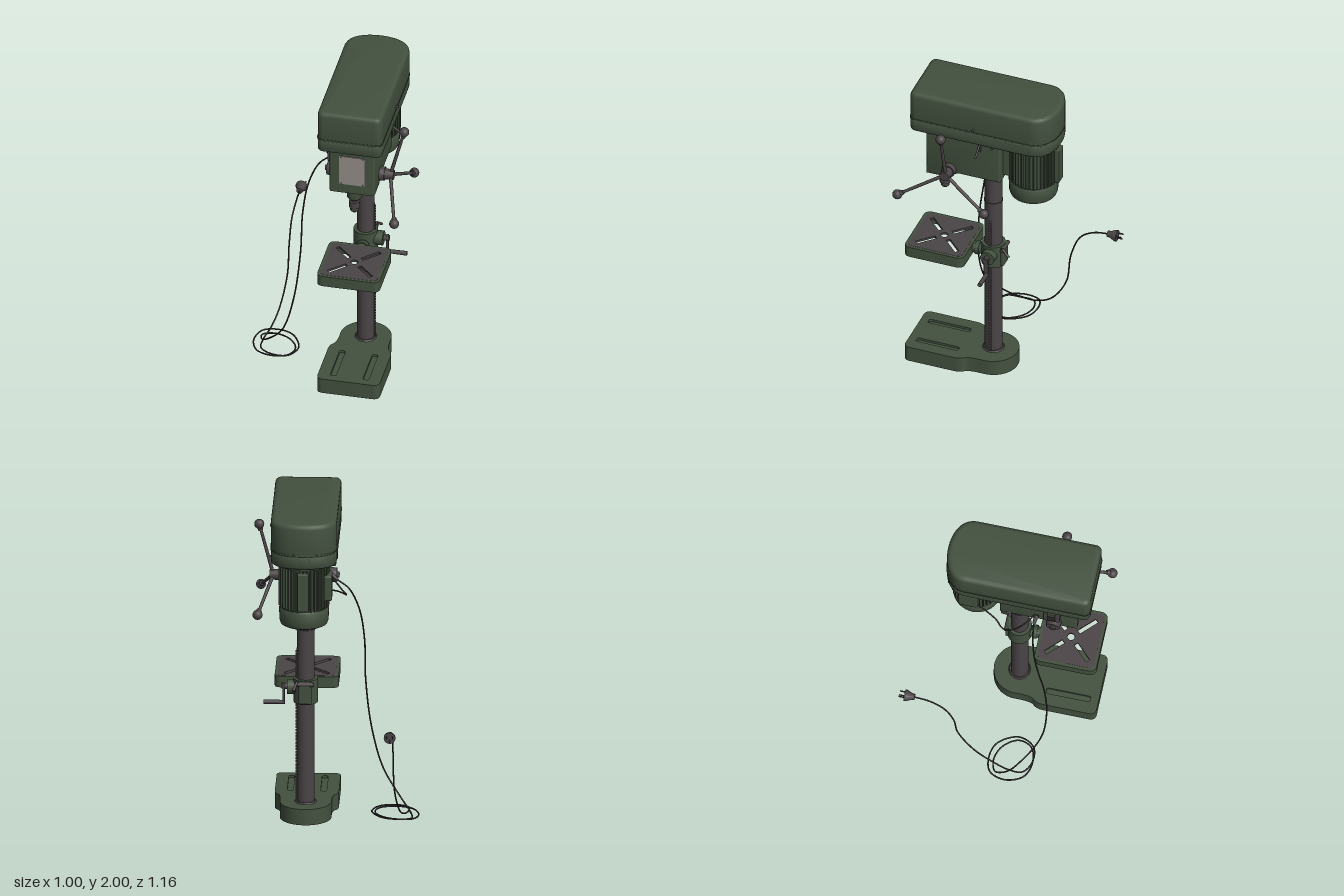
import * as THREE from 'three';
import { toCreasedNormals } from 'three/addons/utils/BufferGeometryUtils.js';
import { RoundedBoxGeometry } from 'three/addons/geometries/RoundedBoxGeometry.js';

const V = (x, y, z) => new THREE.Vector3(x, y, z);
const CX = 0.18, CZ = 0.045; // column axis

export function createModel() {
  const model = new THREE.Group();
  const mat = (name, color) => {
    const m = new THREE.MeshStandardMaterial({ color });
    m.name = name;
    return m;
  };
  const green = mat('machine green', 0x43513f);
  const steel = mat('dark steel', 0x4a4446);
  const black = mat('cord black', 0x353132);
  const plateGrey = mat('plate grey', 0x958d89);

  const add = (name, geo, material, x = 0, y = 0, z = 0) => {
    const m = new THREE.Mesh(geo, material);
    m.name = name;
    m.position.set(x, y, z);
    model.add(m);
    return m;
  };
  const box = (name, w, h, d, material, x, y, z, r = 0) =>
    add(name, r ? new RoundedBoxGeometry(w, h, d, 3, r) : new THREE.BoxGeometry(w, h, d), material, x, y, z);
  // round bar between two points
  const rod = (name, a, b, r1, material, r2 = r1, seg = 20) => {
    const d = b.clone().sub(a);
    const m = add(name, new THREE.CylinderGeometry(r2, r1, d.length(), seg), material);
    m.position.copy(a).addScaledVector(d, 0.5);
    m.quaternion.setFromUnitVectors(V(0, 1, 0), d.normalize());
    return m;
  };
  const lathe = (pts, seg = 32) =>
    toCreasedNormals(new THREE.LatheGeometry(pts.map(p => new THREE.Vector2(...p)), seg), 0.6);
  const extrude = (shape, depth, bevel) => {
    const g = new THREE.ExtrudeGeometry(shape, {
      depth: depth - 2 * bevel, bevelEnabled: bevel > 0, bevelThickness: bevel,
      bevelSize: bevel, bevelOffset: -bevel, bevelSegments: 4, curveSegments: 20 });
    g.translate(0, 0, bevel);
    return g;
  };
  // slab whose outline is drawn in x and z
  const slab = (name, shape, y0, y1, material, bevel = 0) =>
    add(name, toCreasedNormals(extrude(shape, y1 - y0, bevel).rotateX(Math.PI / 2), 0.6), material, 0, y1, 0);
  const roundRect = (x0, z0, x1, z1, r, Type = THREE.Shape) => {
    const s = new Type();
    s.moveTo(x0 + r, z0).lineTo(x1 - r, z0).quadraticCurveTo(x1, z0, x1, z0 + r);
    s.lineTo(x1, z1 - r).quadraticCurveTo(x1, z1, x1 - r, z1);
    s.lineTo(x0 + r, z1).quadraticCurveTo(x0, z1, x0, z1 - r);
    s.lineTo(x0, z0 + r).quadraticCurveTo(x0, z0, x0 + r, z0);
    return s;
  };

  // Base: square front blending into a round column foot, with two grooves on top
  const baseShape = () => {
    const s = new THREE.Shape();
    s.moveTo(0.03, 0.55).lineTo(0.33, 0.55).quadraticCurveTo(0.372, 0.55, 0.372, 0.51);
    s.lineTo(0.372, 0.23).quadraticCurveTo(0.372, 0.185, 0.35, 0.165);
    s.quadraticCurveTo(0.332, 0.145, 0.335, CZ);
    s.absarc(CX, CZ, 0.155, 0, -Math.PI, true);
    s.quadraticCurveTo(0.028, 0.145, 0.01, 0.165).quadraticCurveTo(-0.012, 0.185, -0.012, 0.23);
    s.lineTo(-0.012, 0.51).quadraticCurveTo(-0.012, 0.55, 0.03, 0.55);
    return s;
  };
  slab('baseBody', baseShape(), 0, 0.085, green);
  const baseTop = baseShape();
  for (const x of [0.08, 0.28]) baseTop.holes.push(roundRect(x - 0.018, 0.23, x + 0.018, 0.5, 0.012, THREE.Path));
  slab('baseTop', baseTop, 0.085, 0.1, green);

  // Column with rack and collars
  rod('column', V(CX, 0.1, CZ), V(CX, 1.44, CZ), 0.053, steel, 0.053, 40);
  rod('columnFoot', V(CX, 0.1, CZ), V(CX, 0.108, CZ), 0.066, steel, 0.06, 40);
  rod('columnRing', V(CX, 1.19, CZ), V(CX, 1.2, CZ), 0.057, steel, 0.057, 40);
  rod('columnSocket', V(CX, 1.385, CZ), V(CX, 1.44, CZ), 0.064, green, 0.064, 40);
  box('rack', 0.012, 0.97, 0.016, steel, 0.23, 0.585, CZ);
  for (let i = 0; i < 48; i++) box('rackTooth', 0.006, 0.01, 0.016, steel, 0.237, 0.11 + i * 0.02, CZ);

  // Table: hollow tray with a slotted top
  const rim = roundRect(-0.012, 0.17, 0.372, 0.55, 0.045);
  rim.holes.push(roundRect(0.008, 0.19, 0.352, 0.53, 0.03, THREE.Path));
  slab('tableRim', rim, 0.775, 0.845, green);
  const top = roundRect(0.006, 0.188, 0.354, 0.532, 0.032);
  for (let i = 0; i < 4; i++) {
    const a = Math.PI / 4 + i * Math.PI / 2, c = Math.cos(a), s = Math.sin(a);
    const at = (u, v) => new THREE.Vector2(CX + u * c - v * s, 0.36 + u * s + v * c);
    top.holes.push(new THREE.Path([at(0.055, -0.013), at(0.185, -0.013), at(0.185, 0.013), at(0.055, 0.013)]));
  }
  top.holes.push(new THREE.Path().absarc(CX, 0.36, 0.022, 0, Math.PI * 2));
  slab('tableTop', top, 0.832, 0.846, steel);

  // Table bracket, crank and clamp
  rod('tableClamp', V(CX, 0.735, CZ), V(CX, 0.885, CZ), 0.073, green, 0.073, 36);
  rod('tableArm', V(CX, 0.81, 0.09), V(CX, 0.81, 0.18), 0.034, green);
  rod('tableArmFlange', V(CX, 0.81, 0.13), V(CX, 0.81, 0.155), 0.042, green);
  box('clampEar', 0.08, 0.14, 0.04, green, CX, 0.81, -0.015, 0.008);
  rod('gearHousing', V(0.2, 0.825, CZ), V(0.29, 0.825, CZ), 0.045, green);
  rod('crankShaft', V(0.28, 0.83, CZ), V(0.325, 0.83, CZ), 0.018, steel);
  box('crankArm', 0.014, 0.13, 0.03, steel, 0.312, 0.785, CZ - 0.003, 0.006);
  rod('crankHandle', V(0.305, 0.73, 0.038), V(0.432, 0.73, 0.038), 0.012, steel, 0.014);
  rod('clampBolt', V(0.13, 0.865, -0.03), V(0.24, 0.865, -0.03), 0.012, steel);
  rod('clampLever', V(0.23, 0.88, -0.03), V(0.25, 0.84, -0.078), 0.007, steel, 0.009);

  // Head casting
  const side = new THREE.Shape([[0.425, 1.386], [0.425, 1.73], [-0.047, 1.73], [-0.047, 1.432], [0.22, 1.432], [0.3, 1.388]]
    .map(p => new THREE.Vector2(...p)));
  add('headCasting', toCreasedNormals(extrude(side, 0.28, 0.012).rotateY(-Math.PI / 2), 0.6), green, 0.32, 0, 0);
  box('frontPlate', 0.155, 0.2, 0.006, plateGrey, CX, 1.55, 0.427);
  for (const x of [0.112, 0.248]) for (const y of [1.457, 1.643])
    rod('plateRivet', V(x, y, 0.428), V(x, y, 0.433), 0.004, steel, 0.004, 10);

  // Belt cover with rounded rear and seam band
  const coverShape = d => {
    const x0 = -0.018 - d, x1 = 0.378 + d, f = 0.513 + d, b = -0.392 - d, r = 0.045;
    const s = new THREE.Shape();
    s.moveTo(x0 + r, f).quadraticCurveTo(x0, f, x0, f - r).lineTo(x0, -0.25);
    s.bezierCurveTo(x0, -0.345, 0.07, b, CX, b).bezierCurveTo(0.29, b, x1, -0.345, x1, -0.25);
    s.lineTo(x1, f - r).quadraticCurveTo(x1, f, x1 - r, f).lineTo(x0 + r, f);
    return s;
  };
  slab('coverLower', coverShape(0), 1.72, 1.81, green, 0.018);
  slab('coverUpper', coverShape(0), 1.785, 2, green, 0.028);
  slab('coverSeam', coverShape(0.003), 1.806, 1.814, green);
  rod('coverKnob', V(0.375, 1.83, 0.1), V(0.395, 1.83, 0.1), 0.008, steel);

  // Motor with fins, end cap and junction box
  const MZ = -0.217;
  add('motorBody', lathe([[0, 1.42], [0.136, 1.42], [0.136, 1.735], [0, 1.735]]), green, CX, 0, MZ);
  add('motorCap', lathe([[0, 1.322], [0.125, 1.322], [0.14, 1.33], [0.147, 1.35], [0.15, 1.425], [0.144, 1.435], [0, 1.435]], 40),
    green, CX, 0, MZ + 0.005);
  for (let i = 0; i < 40; i++) {
    const a = i / 40 * Math.PI * 2;
    box('motorFin', 0.022, 0.255, 0.006, green, CX + 0.142 * Math.cos(a), 1.572, MZ - 0.142 * Math.sin(a)).rotation.y = a;
  }
  add('motorTopFlange', new THREE.CylinderGeometry(0.15, 0.15, 0.02, 40), green, CX, 1.715, MZ);
  box('junctionBox', 0.07, 0.16, 0.12, green, 0.045, 1.57, MZ - 0.02, 0.012);
  box('motorMount', 0.16, 0.19, 0.06, green, CX, 1.55, -0.06, 0.006);
  box('motorBackRib', 0.07, 0.24, 0.05, green, CX, 1.57, -0.363, 0.006);

  // Quill and chuck
  add('quill', lathe([[0, 1.31], [0.036, 1.31], [0.046, 1.325], [0.046, 1.39], [0, 1.39]]), green, CX, 0, 0.355);
  add('chuck', lathe([[0, 1.212], [0.014, 1.212], [0.026, 1.225], [0.026, 1.245], [0.033, 1.248], [0.033, 1.29],
    [0.02, 1.292], [0.02, 1.315], [0, 1.315]]), steel, CX, 0, 0.355);

  // Feed hub with three knobbed spokes
  rod('feedCollar', V(0.31, 1.455, 0.275), V(0.35, 1.455, 0.275), 0.046, steel, 0.042, 32);
  rod('feedHub', V(0.35, 1.455, 0.275), V(0.405, 1.455, 0.275), 0.034, steel, 0.03, 32);
  for (let i = 0; i < 3; i++) {
    const a = Math.PI / 2 + i * Math.PI * 2 / 3;
    const at = (x, r) => V(x, 1.455 + r * Math.sin(a), 0.275 + r * Math.cos(a));
    const end = at(0.467, 0.32);
    rod('feedSpoke', at(0.385, 0.01), end, 0.011, steel, 0.009);
    rod('feedKnobNeck', at(0.459, 0.28), end, 0.014, steel, 0.022);
    add('feedKnob', new THREE.SphereGeometry(0.03, 24, 16), steel, end.x, end.y, end.z);
  }
  rod('beltLever', V(0.315, 1.695, 0.08), V(0.395, 1.637, 0.08), 0.006, steel);
  box('beltLeverPlate', 0.01, 0.065, 0.014, steel, 0.322, 1.67, 0.08);
  rod('lockScrew', V(0.315, 1.685, 0), V(0.335, 1.685, 0), 0.008, steel);

  // Switch and return spring cap on the far side
  box('switchBox', 0.04, 0.17, 0.1, steel, 0.025, 1.615, 0.275, 0.006);
  for (const y of [1.65, 1.585]) box('switchButton', 0.012, 0.04, 0.05, y > 1.6 ? green : black, 0.002, y, 0.275, 0.004);
  rod('springCap', V(0.045, 1.455, 0.285), V(0, 1.455, 0.285), 0.046, steel, 0.042, 32);
  rod('springCapNut', V(0, 1.455, 0.285), V(-0.014, 1.455, 0.285), 0.018, steel, 0.018, 6);
  rod('cordGland', V(0.04, 1.5, 0.18), V(-0.005, 1.465, 0.172), 0.014, steel, 0.01);

  // Power cord, coiled once on the floor, and motor lead
  const cord = (name, pts, n) => add(name, new THREE.TubeGeometry(
    new THREE.CatmullRomCurve3(pts.map(p => V(...p)), false, 'centripetal'), n, 0.0048, 8), black);
  cord('powerCord', [
    [0.02, 1.49, 0.175], [-0.01, 1.46, 0.172], [-0.075, 1.405, 0.18], [-0.135, 1.27, 0.2], [-0.165, 1.07, 0.232],
    [-0.17, 0.81, 0.268], [-0.205, 0.49, 0.292], [-0.275, 0.24, 0.27], [-0.38, 0.09, 0.18],
    [-0.445, 0.02, 0.1], [-0.455, 0.006, 0.03], [-0.385, 0.006, 0.005], [-0.29, 0.006, 0.04],
    [-0.232, 0.006, 0.13], [-0.26, 0.006, 0.21], [-0.35, 0.006, 0.238], [-0.45, 0.006, 0.205], [-0.495, 0.006, 0.1],
    [-0.465, 0.012, 0], [-0.38, 0.016, -0.025], [-0.28, 0.016, 0.005], [-0.213, 0.012, 0.13],
    [-0.26, 0.012, 0.225], [-0.36, 0.016, 0.235], [-0.43, 0.02, 0.19], [-0.435, 0.025, 0.11], [-0.41, 0.045, 0],
    [-0.385, 0.11, -0.11], [-0.36, 0.28, -0.215], [-0.355, 0.49, -0.247], [-0.352, 0.64, -0.31],
    [-0.346, 0.7, -0.4], [-0.345, 0.715, -0.49]], 400);
  cord('motorLead', [[0.02, 1.52, -0.17], [-0.025, 1.47, -0.06], [-0.065, 1.43, 0.0], [-0.045, 1.425, 0.07],
    [0, 1.46, 0.13], [0.045, 1.5, 0.17]], 60);

  // Plug with three prongs
  add('plugBody', lathe([[0, 0], [0.019, 0], [0.021, 0.02], [0.035, 0.05], [0.035, 0.062], [0, 0.062]]), steel, -0.345, 0.715, -0.485)
    .rotation.x = -Math.PI / 2;
  for (const [x, y] of [[-0.018, 0.008], [0.018, 0.008], [0, -0.014]])
    box('plugProng', 0.006, 0.008, 0.04, steel, -0.345 + x, 0.715 + y, -0.56);

  return model;
}
